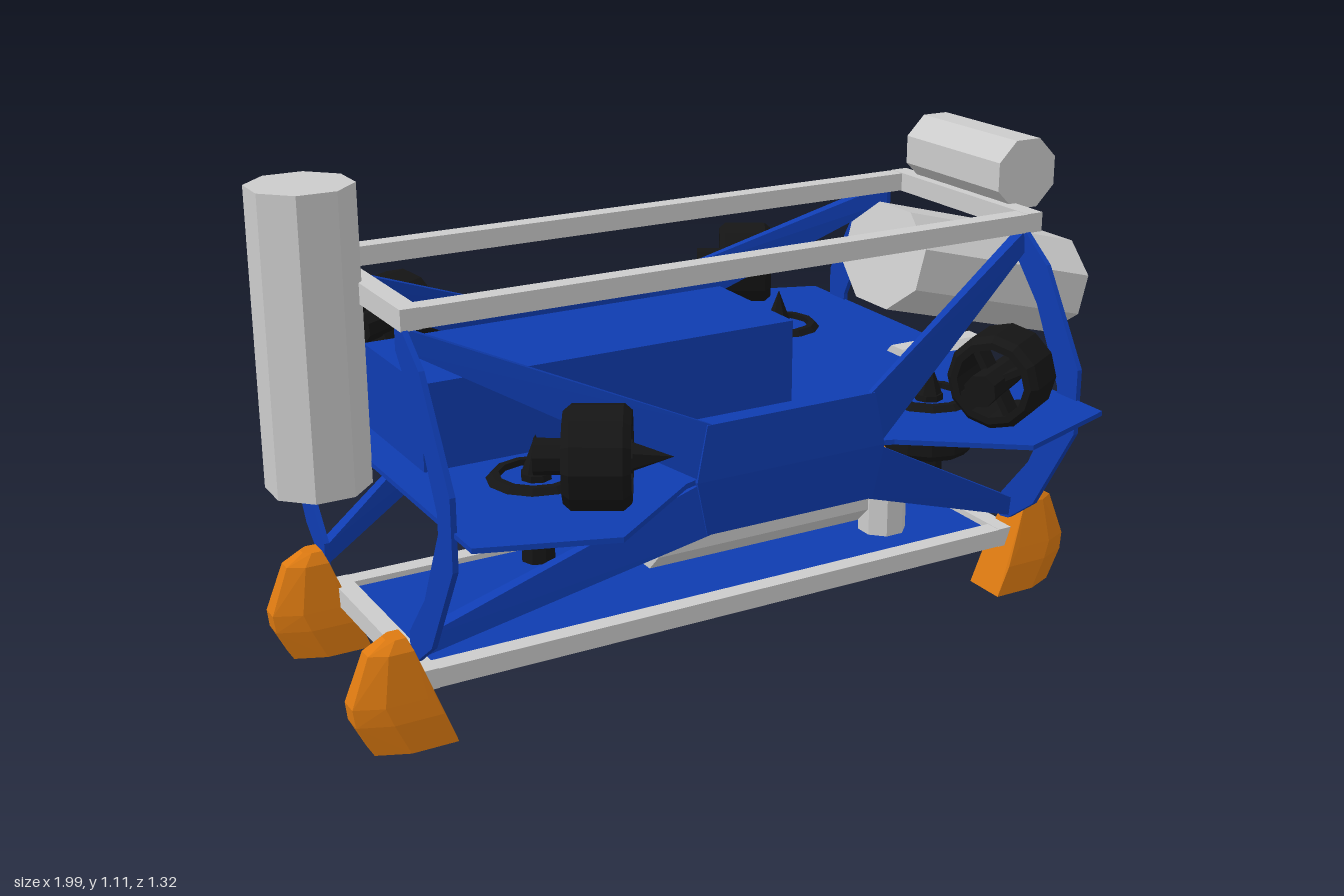
import * as THREE from 'three';
import { ConvexGeometry } from 'three/addons/geometries/ConvexGeometry.js';

const mat = (color) => new THREE.MeshStandardMaterial({ color, flatShading: true });
const grey = mat(0xcccccc), blue = mat(0x0f3cb0), orange = mat(0xdd7a11), black = mat(0x151515);
const V = (x, y, z) => new THREE.Vector3(x, y, z);
const CX = -0.055; // middle of the hull along its length
const CZ = 0.028;  // middle of the tube frames across

function add(parent, name, geometry, material, x = 0, y = 0, z = 0) {
  const mesh = new THREE.Mesh(geometry, material);
  mesh.name = name;
  mesh.position.set(x, y, z);
  parent.add(mesh);
  return mesh;
}

// Eight-sided cylinder with flats facing the axes
const octagon = (r, length) => new THREE.CylinderGeometry(r, r, length, 8).rotateY(Math.PI / 8);

// Flat sheet from an outline in x and z
function sheet(points, thickness) {
  const shape = new THREE.Shape(points.map(([x, z]) => new THREE.Vector2(x, z)));
  return new THREE.ExtrudeGeometry(shape, { depth: thickness, bevelEnabled: false }).rotateX(Math.PI / 2);
}

// Rectangular frame made of four bars
function frame(name, y, x0, x1) {
  const group = new THREE.Group();
  group.name = name;
  for (const s of [-1, 1]) {
    add(group, 'longBar', new THREE.BoxGeometry(x1 - x0, 0.042, 0.042), grey, (x0 + x1) / 2, y, CZ + s * 0.24);
    add(group, 'crossBar', new THREE.BoxGeometry(0.042, 0.044, 0.522), grey, s < 0 ? x0 + 0.021 : x1 - 0.021, y, CZ);
  }
  return group;
}

// Thruster with its axis along +y: ducted ring, hub, nose cone, tail and vanes
function thruster(name) {
  const group = new THREE.Group();
  group.name = name;
  const ring = [[0.075, -0.065], [0.09, -0.065], [0.103, -0.05], [0.103, 0.05], [0.09, 0.065], [0.075, 0.065], [0.075, -0.065]];
  add(group, 'duct', new THREE.LatheGeometry(ring.map(([r, y]) => new THREE.Vector2(r, y)), 12), black);
  add(group, 'hub', new THREE.CylinderGeometry(0.032, 0.036, 0.188, 8), black, 0, -0.028, 0);
  add(group, 'noseCone', new THREE.ConeGeometry(0.03, 0.08, 6), black, 0, 0.104, 0);
  for (let i = 0; i < 4; i++) {
    const vane = add(group, 'vane', new THREE.BoxGeometry(0.06, 0.05, 0.014).translate(0.05, 0, 0), black, 0, -0.035, 0);
    vane.rotation.y = i * Math.PI / 2;
  }
  return group;
}

// Foot pointing to +x, hull of tapering six-sided sections: y, inner x, outer x, half width
function footGeometry() {
  const points = [];
  for (const [y, x0, x1, h] of [[0, 0.685, 0.855, 0.052], [0.07, 0.715, 0.89, 0.052], [0.11, 0.745, 0.895, 0.048], [0.215, 0.765, 0.855, 0.036], [0.24, 0.775, 0.815, 0.022]])
    for (const s of [-1, 1])
      points.push(V(x0, y, s * h), V(x0 + (x1 - x0) * 0.6, y, s * h), V(x1, y, s * h * 0.45));
  return new ConvexGeometry(points);
}

// Cross-shaped guard, end brackets and thrusters of one side (+z)
function sideAssembly() {
  const group = new THREE.Group();
  group.name = 'sideAssembly';
  const midY = 0.525;

  const panel = [];
  for (const sx of [-1, 1]) for (const sy of [-1, 1])
    panel.push(V(sx * 0.2, midY + sy * 0.117, 0.477), V(sx * 0.2, midY + sy * 0.117, 0.487),
      V(sx * 0.225, midY, 0.48), V(sx * 0.225, midY, 0.49));
  add(group, 'guardCentre', new ConvexGeometry(panel), blue, CX);

  for (const sx of [-1, 1]) for (const sy of [-1, 1]) {
    const p = (x, dy, z) => V(sx * x, midY + sy * dy, z);
    add(group, 'guardArm', new ConvexGeometry([
      p(0.745, 0.345, 0.25), p(0.745, 0.345, 0.28), p(0.745, 0.3, 0.285), p(0.745, 0.3, 0.25),
      p(0.19, 0.117, 0.475), p(0.19, 0.117, 0.487), p(0.21, 0.0, 0.478), p(0.21, 0.0, 0.49),
    ]), blue, CX);
  }

  // Thin bowed bracket at each end, outline in z and y
  const half = [[0.25, 0.355], [0.28, 0.35], [0.365, 0.285], [0.49, 0.075]];
  const inner = [[0.425, 0.02], [0.34, 0.19], [0.25, 0.295]];
  const outline = [...half, ...half.map(([z, d]) => [z, -d]).reverse(),
    ...inner.map(([z, d]) => [z, -d]).reverse(), ...inner];
  const shape = new THREE.Shape(outline.map(([z, d]) => new THREE.Vector2(z, midY + d)));
  const bracket = new THREE.ExtrudeGeometry(shape, { depth: 0.012, bevelEnabled: false })
    .translate(0, 0, -0.006).rotateY(-Math.PI / 2);
  // rotateY(-90) maps shape x to +z
  for (const sx of [-1, 1]) add(group, 'endBracket', bracket, blue, CX + sx * 0.745);

  for (const sx of [-1, 1]) {
    const lift = thruster('liftThruster');
    lift.position.set(CX + sx * 0.48 - 0.012, 0.478, 0.312);
    const drive = thruster('driveThruster');
    drive.position.set(CX + sx * 0.48 + 0.018, 0.64, 0.525);
    drive.quaternion.setFromUnitVectors(V(0, 1, 0), V(0.866, 0, -sx * 0.5));
    group.add(lift, drive);
  }

  // Ballast tube under the deck
  add(group, 'ballastTube', octagon(0.072, 0.525).rotateZ(Math.PI / 2), grey, -0.028, 0.34, 0.28);
  return group;
}

export function createModel() {
  const model = new THREE.Group();
  model.name = 'underwaterVehicle';

  // Deck with a wing at each corner
  const edge = [[-0.745, 0.57], [-0.48, 0.662], [-0.25, 0.49], [-0.17, 0.463], [0.17, 0.463], [0.25, 0.49], [0.48, 0.662], [0.745, 0.57]];
  const deck = [...edge, ...edge.map(([x, z]) => [x, -z]).reverse()];
  add(model, 'deck', sheet(deck, 0.011), blue, CX, 0.53, 0);
  add(model, 'equipmentBox', new THREE.BoxGeometry(0.87, 0.263, 0.313), blue, -0.295, 0.584, 0.02);

  // Frames and the sheet in the lower one
  model.add(frame('topFrame', 0.888, -0.808, 0.728), frame('bottomFrame', 0.132, -0.805, 0.695));
  add(model, 'bottomSheet', new THREE.BoxGeometry(1.46, 0.01, 0.48), blue, CX, 0.135, CZ);

  // Both sides
  const left = sideAssembly(), right = sideAssembly();
  right.scale.z = -1;
  model.add(left, right);

  // Feet
  const foot = footGeometry();
  for (const sx of [-1, 1]) for (const sz of [-1, 1])
    add(model, 'foot', foot, orange, CX, 0, CZ + sz * 0.244).scale.x = sx;

  // Instruments
  add(model, 'mastCylinder', octagon(0.108, 0.625), grey, -0.898, 0.797, CZ - 0.005);
  add(model, 'crossCylinder', octagon(0.086, 0.355).rotateX(Math.PI / 2), grey, 0.757, 0.975, 0.015);
  add(model, 'lowerCylinder', octagon(0.056, 0.23).rotateZ(Math.PI / 2), grey, 0.647, 0.497, 0.024);
  add(model, 'probe', octagon(0.057, 0.23), grey, 0.441, 0.205, 0.112);
  const camera = octagon(1, 0.5).scale(0.124, 1, 0.16).rotateZ(-Math.PI / 2 - 0.26);
  add(model, 'cameraHousing', camera, grey, 0.722, 0.718, CZ);

  return model;
}
